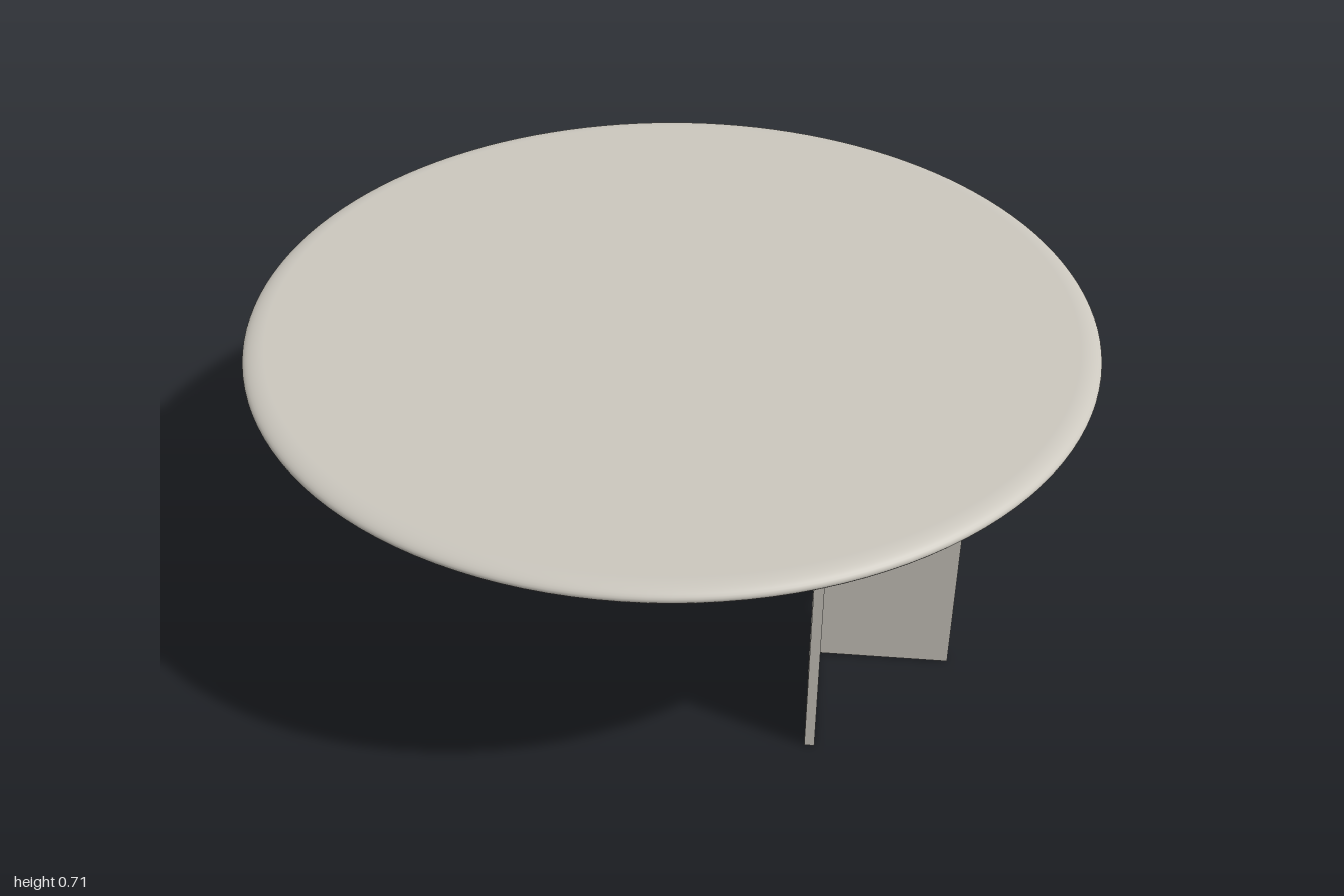
import * as THREE from 'three';

export function createModel() {
  const group = new THREE.Group();
  const stone = new THREE.MeshStandardMaterial({ color: 0xcbc7be });
  stone.name = 'warm grey stone';

  // Round top: flat disc with an elliptical bullnose rim
  const midY = 0.688, halfH = 0.021, rim = 0.05;
  const profile = [new THREE.Vector2(0, midY - halfH)];
  for (let i = 0; i <= 16; i++) {
    const a = -Math.PI / 2 + (Math.PI * i) / 16;
    profile.push(new THREE.Vector2(1 - rim + rim * Math.cos(a), midY + halfH * Math.sin(a)));
  }
  profile.push(new THREE.Vector2(0, midY + halfH));
  const top = new THREE.Mesh(new THREE.LatheGeometry(profile, 128), stone);
  top.name = 'tableTop';
  group.add(top);

  // Legs: two thin panels meeting at a right angle, opening outwards
  const reach = 0.233, t = 0.016;
  const section = new THREE.Shape([
    [0, 0], [reach, -reach], [reach + t, -reach + t],
    [2 * t, 0], [reach + t, reach - t], [reach, reach],
  ].map(([x, y]) => new THREE.Vector2(x, y)));
  const legGeometry = new THREE.ExtrudeGeometry(section, { depth: midY - halfH, bevelEnabled: false });
  legGeometry.rotateX(-Math.PI / 2);

  for (const side of [1, -1]) {
    const leg = new THREE.Mesh(legGeometry, stone);
    leg.name = side > 0 ? 'leftLeg' : 'rightLeg';
    leg.position.set(side * 0.512, 0, -0.01);
    if (side < 0) leg.rotation.y = Math.PI;
    group.add(leg);
  }
  return group;
}
